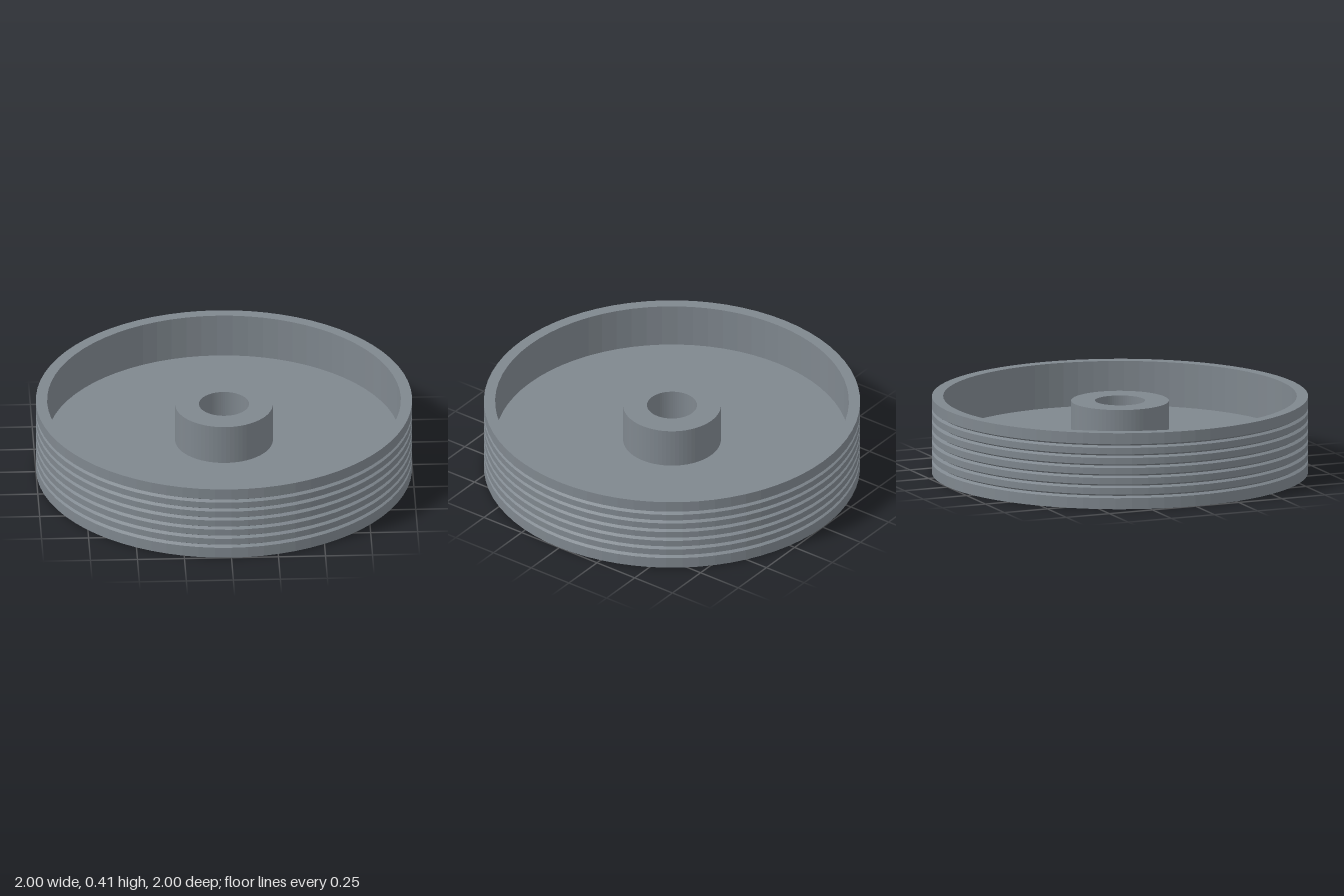
import * as THREE from 'three';

const SEGMENTS = 72;
const HEIGHT = 0.412, OUTER = 1, INNER = 0.94;
const HUB = 0.26, BORE = 0.133, HUB_LOW = 0.024, HUB_HIGH = HEIGHT - 0.024;
const WEB_LOW = 0.12, WEB_HIGH = 0.172;
const GROOVES = 6, PITCH = 0.0545, GROOVE_HALF = 0.01, GROOVE_DEPTH = 0.017;

export function createModel() {
  const group = new THREE.Group();
  const material = new THREE.MeshStandardMaterial({ color: 0x7f878e, flatShading: true });

  // Profiles run counter-clockwise so that faces point outward
  const turn = (name, profile) => {
    const points = profile.map(([r, y]) => new THREE.Vector2(r, y));
    const mesh = new THREE.Mesh(new THREE.LatheGeometry(points, SEGMENTS), material);
    mesh.name = name;
    group.add(mesh);
  };

  // Rim with V-shaped grooves around the outside
  const rim = [[INNER, WEB_LOW], [INNER, 0], [OUTER, 0]];
  for (let i = 0; i < GROOVES; i++) {
    const y = HEIGHT / 2 + (i - (GROOVES - 1) / 2) * PITCH;
    rim.push([OUTER, y - GROOVE_HALF], [OUTER - GROOVE_DEPTH, y], [OUTER, y + GROOVE_HALF]);
  }
  rim.push([OUTER, HEIGHT], [INNER, HEIGHT], [INNER, WEB_HIGH]);
  turn('groovedRim', rim);

  // Disc joining rim and hub
  turn('webTop', [[INNER, WEB_HIGH], [HUB, WEB_HIGH]]);
  turn('webUnderside', [[HUB, WEB_LOW], [INNER, WEB_LOW]]);

  // Hub with a through bore, standing out on both sides of the disc
  turn('hub', [
    [HUB, WEB_HIGH], [HUB, HUB_HIGH], [BORE, HUB_HIGH],
    [BORE, HUB_LOW], [HUB, HUB_LOW], [HUB, WEB_LOW],
  ]);

  return group;
}
